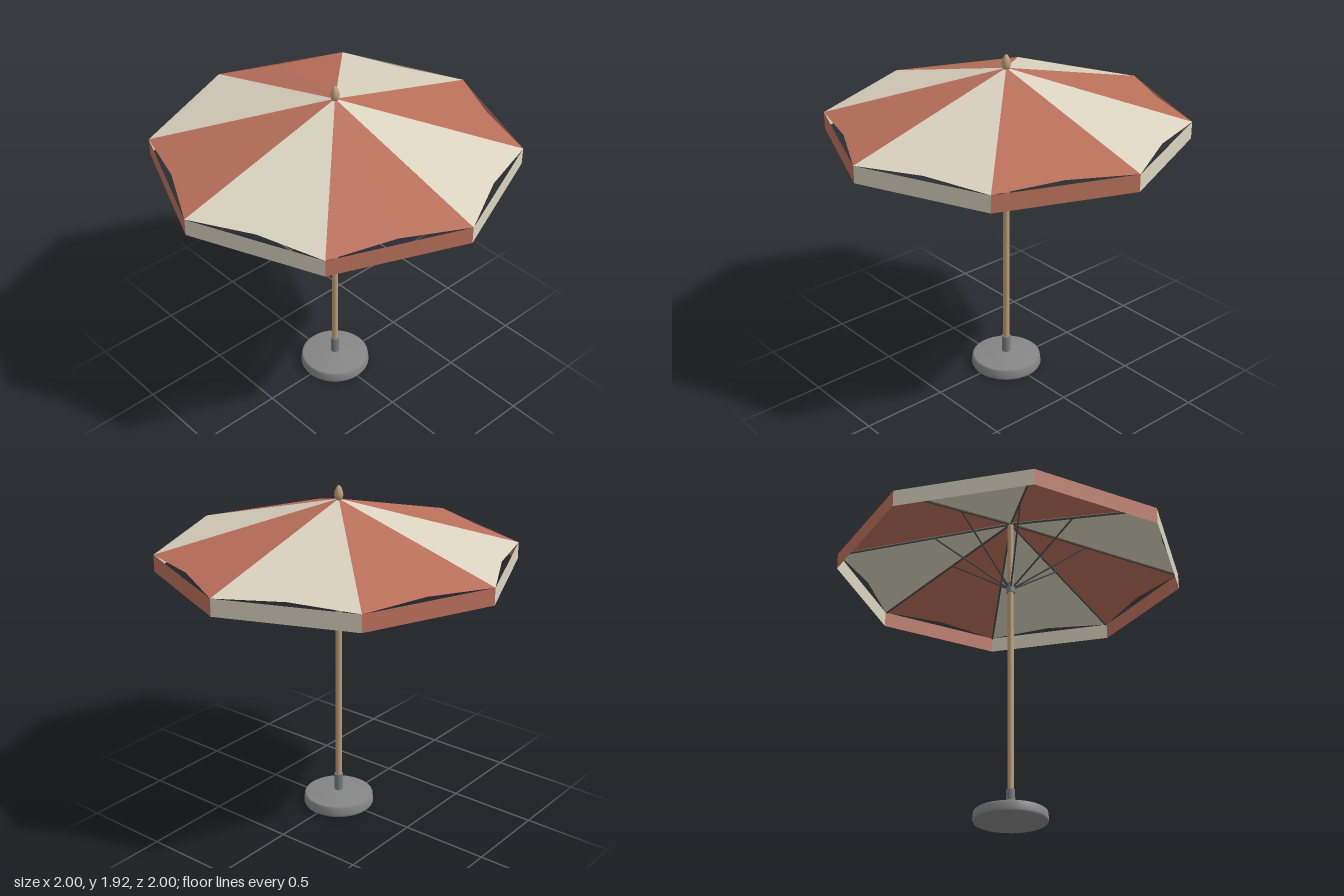
import * as THREE from 'three';

const material = (color, extra = {}) => new THREE.MeshStandardMaterial({ color, ...extra });
const RED = material(0xb9705a, { side: THREE.DoubleSide, flatShading: true });
const CREAM = material(0xdad3c0, { side: THREE.DoubleSide, flatShading: true });
const WOOD = material(0xbb9d78);
const METAL = material(0x757c80);
const DARK = material(0x484a4b);
const STONE = material(0x868686);

const PANELS = 8, APEX = 1.845, RIM = 1.565, HEM = 1.47;

function add(parent, name, geometry, mat) {
  const mesh = new THREE.Mesh(geometry, mat);
  mesh.name = name;
  parent.add(mesh);
  return mesh;
}

// Point at a radius and height in the direction of rib i
function ribPoint(i, r, y) {
  const a = (i / PANELS) * Math.PI * 2;
  return new THREE.Vector3(Math.cos(a) * r, y, Math.sin(a) * r);
}

// Thin round bar between two points
function bar(parent, name, a, b, radius, mat) {
  const mesh = add(parent, name, new THREE.CylinderGeometry(radius, radius, a.distanceTo(b), 8), mat);
  mesh.position.copy(a).lerp(b, 0.5);
  mesh.quaternion.setFromUnitVectors(new THREE.Vector3(0, 1, 0), b.clone().sub(a).normalize());
}

// Upright cylinder between two heights
function post(parent, name, radius, y0, y1, mat) {
  add(parent, name, new THREE.CylinderGeometry(radius, radius, y1 - y0, 24), mat).position.y = (y0 + y1) / 2;
}

function lathe(points) {
  return new THREE.LatheGeometry(points.map(([r, y]) => new THREE.Vector2(r, y)), 40);
}

function surface(points, index) {
  const g = new THREE.BufferGeometry().setFromPoints(points);
  g.setIndex(index);
  g.computeVertexNormals();
  return g;
}

// Triangular canopy panel whose outer edge is pulled inwards at the middle
function panelGeometry(i) {
  const a = ribPoint(i, 1, RIM), b = ribPoint(i + 1, 1, RIM);
  const mid = a.clone().lerp(b, 0.5).multiplyScalar(0.966);
  mid.y = 1.575;
  return surface([new THREE.Vector3(0, APEX, 0), a, mid, b], [0, 2, 1, 0, 3, 2]);
}

// Straight hanging strip between two rib tips
function valanceGeometry(i) {
  return surface([
    ribPoint(i, 1, RIM), ribPoint(i + 1, 1, RIM),
    ribPoint(i, 1, HEM), ribPoint(i + 1, 1, HEM),
  ], [0, 1, 2, 1, 3, 2]);
}

export function createModel() {
  const model = new THREE.Group();
  model.name = 'parasol';

  // Weighted base, sleeve and pole
  add(model, 'base', lathe([[0, 0], [0.2, 0], [0.205, 0.012], [0.2, 0.055], [0.19, 0.062], [0.03, 0.08], [0, 0.08]]), STONE);
  post(model, 'sleeve', 0.025, 0.07, 0.18, METAL);
  post(model, 'pole', 0.018, 0.07, 1.84, WOOD);
  post(model, 'runner', 0.025, 1.375, 1.435, METAL);

  // Finial
  add(model, 'finial', lathe([[0, 1.835], [0.016, 1.838], [0.023, 1.852], [0.025, 1.868],
    [0.021, 1.89], [0.012, 1.91], [0.004, 1.919], [0, 1.92]]), WOOD);

  // Canopy, valance and frame
  const canopy = new THREE.Group();
  canopy.name = 'canopy';
  const frame = new THREE.Group();
  frame.name = 'frame';
  model.add(canopy, frame);
  for (let i = 0; i < PANELS; i++) {
    const cloth = i % 2 ? CREAM : RED;
    add(canopy, 'panel', panelGeometry(i), cloth);
    add(canopy, 'valance', valanceGeometry(i), cloth);
    bar(frame, 'rib', ribPoint(i, 0.015, APEX - 0.014), ribPoint(i, 0.99, RIM - 0.006), 0.006, DARK);
    bar(frame, 'strut', ribPoint(i, 0.02, 1.41), ribPoint(i, 0.45, 1.71), 0.005, DARK);
  }
  return model;
}
